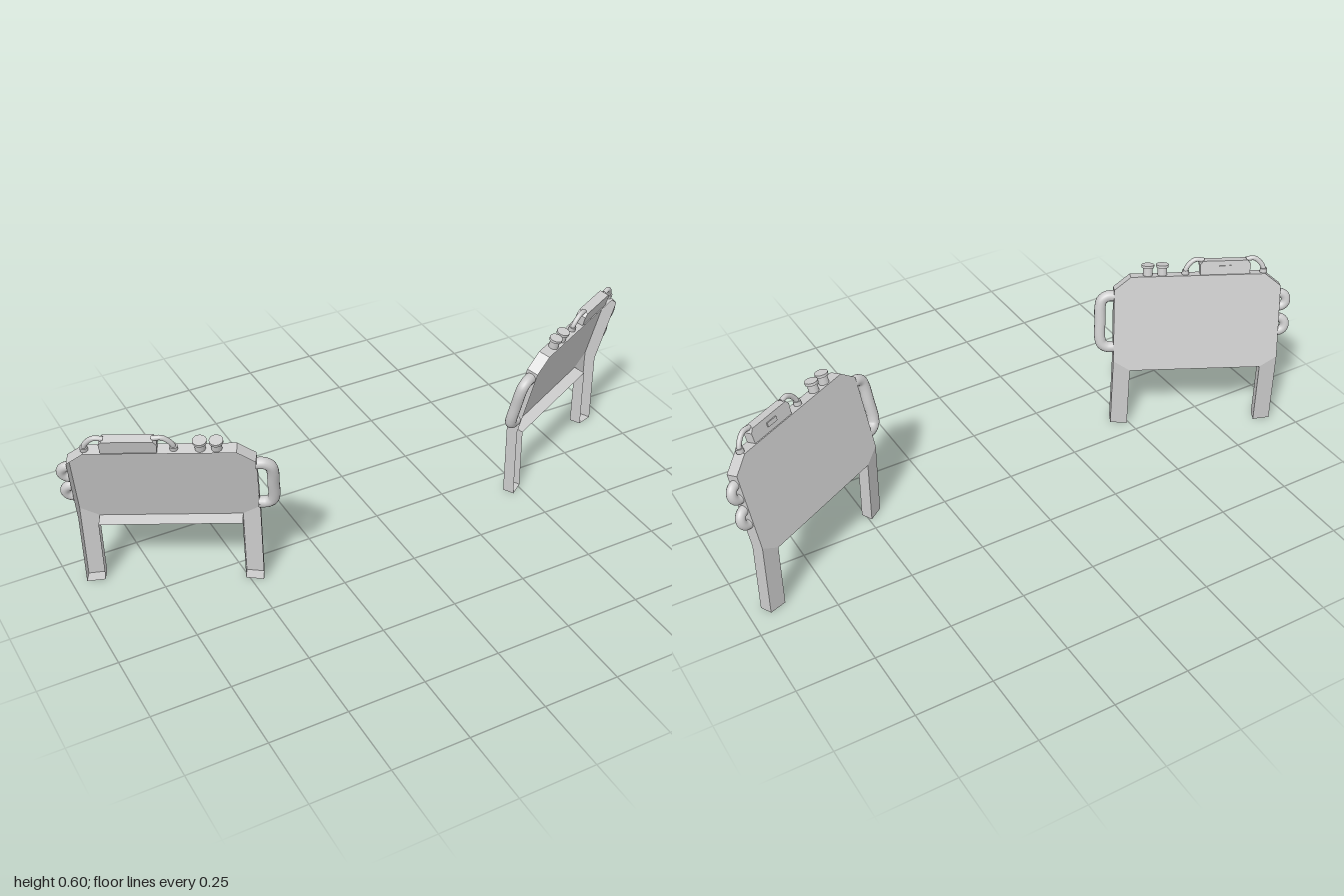
import * as THREE from 'three';

const material = new THREE.MeshStandardMaterial({ color: 0xcccccc, side: THREE.DoubleSide });
const flat = new THREE.MeshStandardMaterial({ color: 0xcccccc, side: THREE.DoubleSide, flatShading: true });
const LEAN = 0.243;   // forward lean of the board
const FOLD = 0.26;    // height where the board starts leaning
const DEPTH = 0.0395; // depth of the rim
const END = 0.277;    // half length of the board
const TOP = 0.296;    // top edge, measured along the leaning board
const MID = 0.02;     // middle of the rim depth

function add(parent, name, geometry, mat = material) {
  const mesh = new THREE.Mesh(geometry, mat);
  mesh.name = name;
  parent.add(mesh);
  return mesh;
}

function tube(points, radius, segments = 40) {
  const curve = new THREE.CatmullRomCurve3(points.map(([x, y]) => new THREE.Vector3(x, y, 0)));
  return new THREE.TubeGeometry(curve, segments, radius, 14);
}

// Hollow board with legs: a back sheet and a rim around it, open at the front
function shellGeometry() {
  const half = [[0.2205, 0.225], [0.2205, 0], [END, 0], [END, FOLD], [END, 0.505], [0.223, 0.547]];
  const outline = [...half, ...half.map(([x, y]) => [-x, y]).reverse()];
  const lean = (y) => Math.tan(LEAN) * (y - FOLD);
  const back = outline.map(([x, y]) => {
    const bend = y > 0 ? y : (Math.abs(x) < END ? 0.225 : FOLD);
    return new THREE.Vector3(x, y, lean(bend));
  });
  const front = back.map((p) => {
    const a = p.y > 0 ? LEAN : 0;
    return new THREE.Vector3(p.x, p.y - DEPTH * Math.sin(a), p.z + DEPTH * Math.cos(a));
  });
  const pos = [];
  const polygon = (...pts) => {
    for (let i = 1; i < pts.length - 1; i++) {
      for (const p of [pts[0], pts[i + 1], pts[i]]) pos.push(p.x, p.y, p.z);
    }
  };
  // board sheet, then the two leg sheets
  polygon(...[0, 3, 4, 5, 6, 7, 8, 11].map((i) => back[i]));
  polygon(...[0, 1, 2, 3].map((i) => back[i]));
  polygon(...[8, 9, 10, 11].map((i) => back[i]));
  // rim
  back.forEach((p, i) => {
    const j = (i + 1) % back.length;
    polygon(p, front[i], front[j], back[j]);
  });
  const geometry = new THREE.BufferGeometry();
  geometry.setAttribute('position', new THREE.Float32BufferAttribute(pos, 3));
  geometry.computeVertexNormals();
  return geometry;
}

function createPanel() {
  const panel = new THREE.Group();
  add(panel, 'boardShellWithLegs', shellGeometry(), flat);

  // Fittings share the lean of the board
  const fittings = new THREE.Group();
  fittings.name = 'fittings';
  fittings.position.y = FOLD;
  fittings.rotation.x = LEAN;
  panel.add(fittings);

  // Large grip on the inner end
  add(fittings, 'sideGrip', tube([
    [-END + 0.004, 0.2265], [-END - 0.022, 0.2255], [-END - 0.039, 0.213], [-END - 0.045, 0.19],
    [-END - 0.045, 0.136], [-END - 0.045, 0.082], [-END - 0.039, 0.059], [-END - 0.022, 0.047], [-END + 0.004, 0.046],
  ], 0.0185, 56)).position.z = MID;

  // Two half rings on the outer end
  for (const y of [0.1975, 0.11]) {
    const ring = add(fittings, 'sideRing', new THREE.TorusGeometry(0.024, 0.0155, 14, 24, Math.PI));
    ring.rotation.z = -Math.PI / 2;
    ring.position.set(END, y, MID);
  }

  // Two capped knobs on the top edge
  for (const x of [-0.165, -0.117]) {
    const profile = [[0, 0], [0.016, 0], [0.016, 0.027], [0.021, 0.027], [0.021, 0.036], [0, 0.036]];
    const knob = add(fittings, 'topKnob', new THREE.LatheGeometry(
      profile.map(([r, y]) => new THREE.Vector2(r, y)), 20), flat);
    knob.position.set(x, TOP, MID);
  }

  // Box on the top edge with a bent arm at each end
  const topBox = new THREE.Group();
  topBox.name = 'topBox';
  topBox.position.set(0.09, TOP, MID);
  fittings.add(topBox);
  const side = new THREE.Shape([[-0.082, 0], [0.082, 0], [0.084, 0.034], [0.074, 0.047], [-0.074, 0.047], [-0.084, 0.034]]
    .map(([x, y]) => new THREE.Vector2(x, y)));
  const box = new THREE.ExtrudeGeometry(side, { depth: 0.032, bevelEnabled: false });
  add(topBox, 'boxBody', box.translate(0, 0, -0.016), flat);
  add(topBox, 'boxLatch', new THREE.BoxGeometry(0.04, 0.014, 0.006), flat).position.set(0, 0.024, -0.017);
  for (const s of [-1, 1]) {
    add(topBox, 'boxArm', tube([
      [s * 0.13, 0], [s * 0.128, 0.018], [s * 0.112, 0.04], [s * 0.096, 0.049], [s * 0.07, 0.046],
    ], 0.008, 24));
    add(topBox, 'armFoot', new THREE.CylinderGeometry(0.012, 0.012, 0.014, 16)).position.set(s * 0.13, 0.006, 0);
  }

  panel.rotation.y = Math.atan2(0.462, 0.887);
  panel.position.set(0.6915, 0, -0.0505);
  return panel;
}

export function createModel() {
  const model = new THREE.Group();
  model.name = 'pairOfPanels';
  for (const s of [1, -1]) {
    const sideGroup = new THREE.Group();
    sideGroup.name = s > 0 ? 'leftPanel' : 'rightPanel';
    sideGroup.scale.x = s;
    sideGroup.add(createPanel());
    model.add(sideGroup);
  }
  return model;
}
